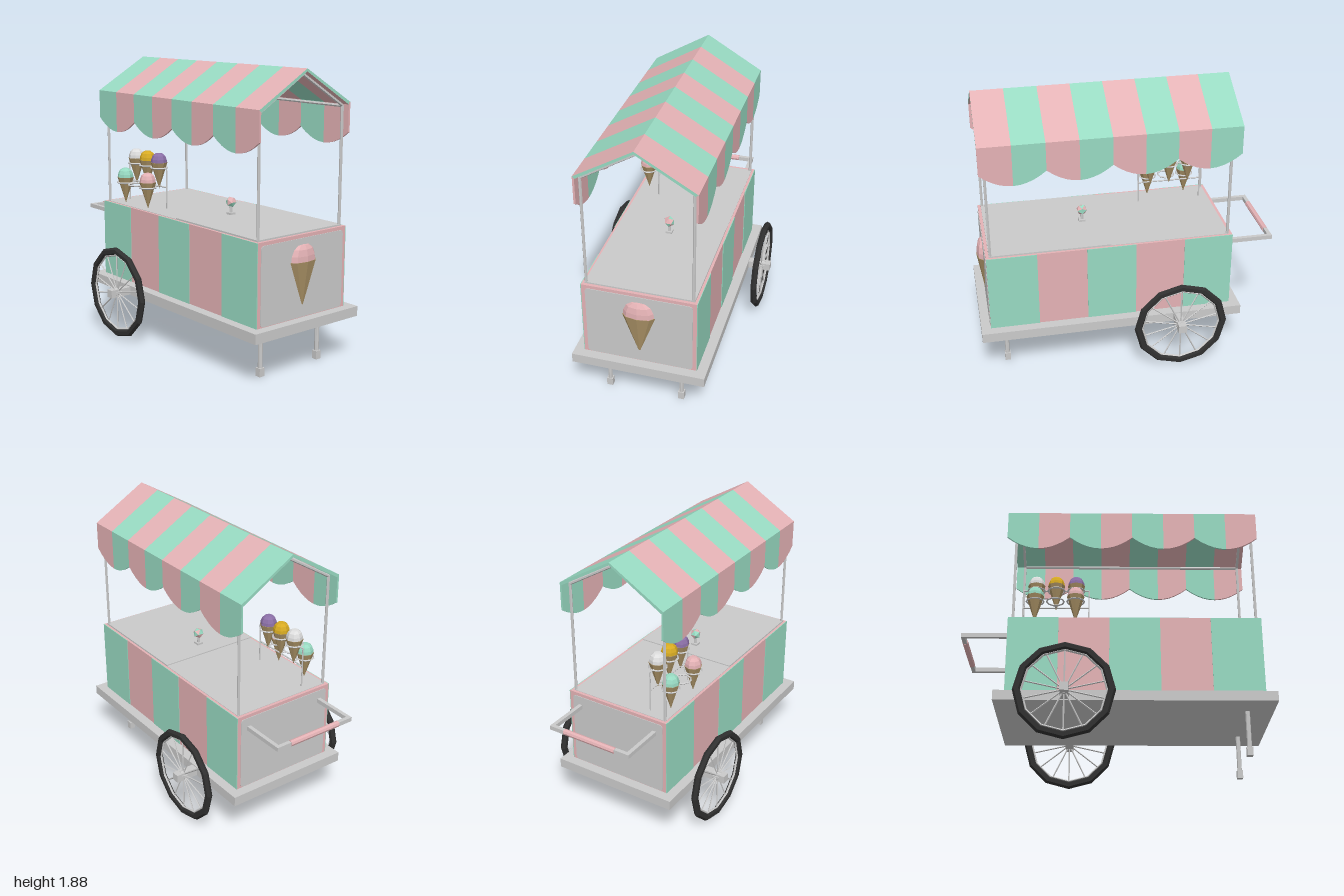
import * as THREE from 'three';

const mat = (name, color, extra = {}) => {
  const m = new THREE.MeshStandardMaterial({ color, flatShading: true, ...extra });
  m.name = name;
  return m;
};

export function createModel() {
  const mint = mat('mint', 0x98dac2), pink = mat('pink', 0xe4b2b5), grey = mat('grey', 0xcacaca);
  const black = mat('rubber', 0x303030), wafer = mat('wafer', 0xaa9266);
  const yellow = mat('lemon', 0xd8ab22), purple = mat('berry', 0x8c70a8), white = mat('vanilla', 0xdedede);

  const cart = new THREE.Group();
  cart.name = 'iceCreamCart';
  const add = (name, geo, material, parent = cart) => {
    const m = new THREE.Mesh(geo, material);
    m.name = name;
    parent.add(m);
    return m;
  };
  // box given by its limits on each axis
  const box = (name, material, x0, x1, y0, y1, z0, z1) =>
    add(name, new THREE.BoxGeometry(x1 - x0, y1 - y0, z1 - z0), material)
      .position.set((x0 + x1) / 2, (y0 + y1) / 2, (z0 + z1) / 2);
  // straight bar between two points
  const rod = (name, a, b, r, material = grey, parent = cart, sides = 6) => {
    const p = new THREE.Vector3(...a), q = new THREE.Vector3(...b);
    const m = add(name, new THREE.CylinderGeometry(r, r, p.distanceTo(q), sides), material, parent);
    m.position.copy(p).add(q).multiplyScalar(0.5);
    m.quaternion.setFromUnitVectors(new THREE.Vector3(0, 1, 0), q.sub(p).normalize());
    return m;
  };

  // Base, body and side stripes
  box('base', grey, -0.755, 1, 0.29, 0.355, -0.437, 0.437);
  const X0 = -0.69, X1 = 0.937, sw = (X1 - X0) / 5;
  box('body', pink, X0, X1, 0.355, 0.882, -0.37, 0.37);
  for (const s of [-1, 1])
    for (let i = 0; i < 5; i += 2)
      add('bodyStripe', new THREE.BoxGeometry(sw, 0.527, 0.005), mint)
        .position.set(X0 + sw * (i + 0.5), 0.6185, s * 0.3715);

  // Rounded end panels
  const w = 0.345, lo = 0.36, hi = 0.86, r = 0.025;
  const panel = new THREE.Shape();
  panel.moveTo(-w + r, lo).lineTo(w - r, lo).quadraticCurveTo(w, lo, w, lo + r);
  panel.lineTo(w, hi - r).quadraticCurveTo(w, hi, w - r, hi);
  panel.lineTo(-w + r, hi).quadraticCurveTo(-w, hi, -w, hi - r);
  panel.lineTo(-w, lo + r).quadraticCurveTo(-w, lo, -w + r, lo);
  const panelGeo = new THREE.ExtrudeGeometry(panel, { depth: 0.005, bevelEnabled: false, curveSegments: 4 });
  panelGeo.rotateY(Math.PI / 2);
  add('endPanel', panelGeo, grey).position.x = X1 - 0.001;
  add('endPanel', panelGeo, grey).position.x = X0 - 0.004;

  // Two lids, one a little higher, with a faceted two-colour knob
  box('lowerLid', grey, X0 + 0.02, 0.124, 0.88, 0.885, -0.353, 0.353);
  box('upperLid', grey, 0.124, X1 - 0.02, 0.88, 0.892, -0.353, 0.353);
  box('knobFoot', grey, 0.238, 0.282, 0.885, 0.905, -0.022, 0.022);
  rod('knobStem', [0.26, 0.9, 0], [0.26, 0.955, 0], 0.011);
  const ball = new THREE.IcosahedronGeometry(0.037, 0);
  for (let i = 0; i < 20; i++) ball.addGroup(i * 3, 3, i % 2);
  add('knob', ball, [mint, pink]).position.set(0.26, 0.975, 0);

  // Wheels and axle
  box('axle', grey, -0.338, -0.285, 0.295, 0.348, -0.592, 0.592);
  for (const s of [-1, 1]) {
    const wheel = new THREE.Group();
    wheel.name = 'wheel';
    wheel.position.set(-0.312, 0.322, s * 0.529);
    cart.add(wheel);
    add('tyre', new THREE.TorusGeometry(0.289, 0.026, 6, 12), black, wheel).scale.z = 0.85;
    add('rim', new THREE.TorusGeometry(0.262, 0.008, 4, 12), grey, wheel);
    const hub = add('hub', new THREE.CylinderGeometry(0.03, 0.03, 0.05, 10), grey, wheel);
    hub.rotation.x = Math.PI / 2;
    for (let i = 0; i < 14; i++) {
      const a = (i + 0.5) / 14 * Math.PI * 2;
      rod('spoke', [0, 0, 0], [0.265 * Math.cos(a), 0.265 * Math.sin(a), 0], 0.005, grey, wheel, 4);
    }
  }

  // Legs and feet
  for (const s of [-1, 1]) {
    rod('leg', [0.832, 0.05, s * 0.245], [0.832, 0.3, s * 0.245], 0.015, grey, cart, 8);
    box('foot', grey, 0.813, 0.851, 0, 0.055, s * 0.245 - 0.02, s * 0.245 + 0.02);
  }

  // Push handle
  for (const s of [-1, 1])
    box('handleArm', grey, -0.994, X0, 0.774, 0.802, s * 0.286 - 0.013, s * 0.286 + 0.013);
  box('handleBar', grey, -0.994, -0.968, 0.774, 0.802, -0.299, 0.299);
  rod('handleGrip', [-0.981, 0.788, -0.192], [-0.981, 0.788, 0.192], 0.02, pink, cart, 8);

  // Canopy frame
  for (const x of [-0.66, 0.908])
    for (const s of [-1, 1]) {
      rod('post', [x, 0.88, s * 0.343], [x, 1.643, s * 0.343], 0.01);
      rod('gableBar', [x, 1.64, s * 0.343], [x, 1.847, 0], 0.01);
    }
  for (const s of [-1, 1]) rod('eaveBar', [-0.66, 1.638, s * 0.343], [0.908, 1.638, s * 0.343], 0.01);

  // Striped roof with scalloped valances
  const C0 = -0.72, cw = 1.665 / 8;
  const roof = new THREE.Shape([[-0.375, 1.662], [-0.361, 1.647], [0, 1.864], [0.361, 1.647], [0.375, 1.662], [0, 1.882]]
    .map(([a, b]) => new THREE.Vector2(a, b)));
  const roofGeo = new THREE.ExtrudeGeometry(roof, { depth: cw, bevelEnabled: false });
  roofGeo.rotateY(Math.PI / 2);
  for (let i = 0; i < 8; i++) {
    const x = C0 + i * cw, colour = i % 2 ? pink : mint;
    add('roofStripe', roofGeo, [mint, colour]).position.x = x;
    const flap = new THREE.Shape();
    flap.moveTo(cw, 1.662).lineTo(0, 1.662);
    for (let k = 0; k <= 5; k++) {
      const t = i % 2 ? k / 5 : 1 - k / 5;
      flap.lineTo(cw * k / 5, 1.475 - 0.085 * (1 - t * t));
    }
    const flapGeo = new THREE.ExtrudeGeometry(flap, { depth: 0.013, bevelEnabled: false });
    for (const z of [-0.375, 0.362]) add('valance', flapGeo, colour).position.set(x, 0, z);
  }

  // Cone with its scoop; origin at the wafer rim
  const lathe = pts => new THREE.LatheGeometry(pts.map(p => new THREE.Vector2(...p)), 8);
  const coneGeo = lathe([[0, -0.3], [0.11, 0], [0, 0.001]]);
  const scoopGeo = lathe([[0.104, 0], [0.1, 0.035], [0.081, 0.075], [0.045, 0.1], [0, 0.103]]);
  const cone = (name, flavour, x, y, z, sx, sy, sz) => {
    const g = new THREE.Group();
    g.name = name;
    add('wafer', coneGeo, wafer, g);
    add('scoop', scoopGeo, flavour, g);
    g.position.set(x, y, z);
    g.scale.set(sx, sy, sz);
    cart.add(g);
  };
  cone('signCone', pink, 0.938, 0.718, 0, 0.42, 1, 1);

  // Wire rack holding the small cones
  const rackZ = 0.204;
  for (const x of [-0.612, -0.174]) rod('rackUpright', [x, 0.88, rackZ], [x, 1.16, rackZ], 0.005);
  for (const y of [1.157, 1.03]) rod('rackBar', [-0.612, y, rackZ], [-0.174, y, rackZ], 0.005);
  const tiers = [
    { y: 1.157, z: rackZ, flavours: [white, yellow, purple] },
    { y: 1.03, z: 0.3, flavours: [mint, null, pink] },
  ];
  for (const { y, z, flavours } of tiers)
    flavours.forEach((flavour, i) => {
      const x = -0.525 + i * 0.1325;
      const ring = add('rackRing', new THREE.TorusGeometry(0.057, 0.006, 4, 10), grey);
      ring.rotation.x = Math.PI / 2;
      ring.position.set(x, y, z);
      if (z > rackZ) rod('ringStub', [x, y, rackZ], [x, y, z - 0.055], 0.005);
      if (flavour) cone('smallCone', flavour, x, y + 0.037, z, 0.53, 0.61, 0.53);
    });

  return cart;
}
